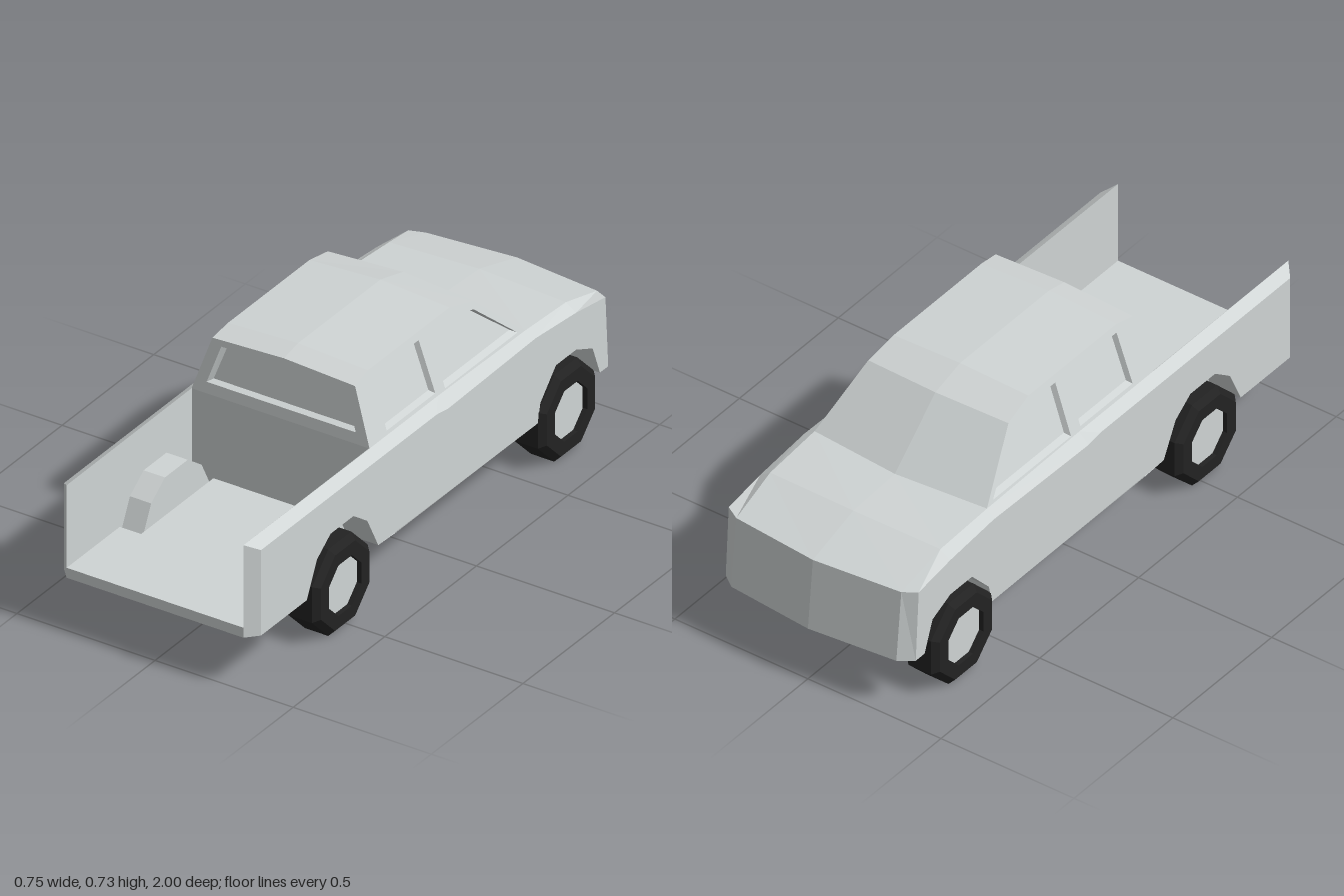
import * as THREE from 'three';

const paint = new THREE.MeshStandardMaterial({ color: 0xcfd4d4, flatShading: true, side: THREE.DoubleSide });
paint.name = 'body grey';
const rubber = new THREE.MeshStandardMaterial({ color: 0x222222, flatShading: true, side: THREE.DoubleSide });
rubber.name = 'tyre black';

// Faceted surface between rows of points
function grid(rows) {
  const out = [];
  for (let i = 0; i < rows.length - 1; i++) {
    for (let j = 0; j < rows[i].length - 1; j++) {
      const a = rows[i][j], b = rows[i][j + 1], c = rows[i + 1][j + 1], d = rows[i + 1][j];
      out.push(...a, ...b, ...c, ...a, ...c, ...d);
    }
  }
  const g = new THREE.BufferGeometry();
  g.setAttribute('position', new THREE.Float32BufferAttribute(out, 3));
  g.computeVertexNormals();
  return g;
}

// Flat outline with holes, placed in space by a rule (u, v) -> [x, y, z]
function plate(outline, holes, place) {
  const vec = (pts) => pts.map(([u, v]) => new THREE.Vector2(u, v));
  const shape = new THREE.Shape(vec(outline));
  holes.forEach((h) => shape.holes.push(new THREE.Path(vec(h))));
  const g = new THREE.ShapeGeometry(shape).toNonIndexed();
  const p = g.attributes.position;
  for (let i = 0; i < p.count; i++) p.setXYZ(i, ...place(p.getX(i), p.getY(i)));
  g.computeVertexNormals();
  return g;
}

// Half a cross-section, outside to centre, completed by its mirror image
const full = (half) => [...half, ...half.slice(0, -1).reverse().map(([x, y, z]) => [-x, y, z])];

export function createModel() {
  const model = new THREE.Group();
  model.name = 'pickupTruck';

  const add = (name, geo, mat = paint) => {
    const m = new THREE.Mesh(geo, mat);
    m.name = name;
    model.add(m);
    return m;
  };
  const pair = (name, geo, mat) => {
    add(name + 'Left', geo, mat);
    add(name + 'Right', geo, mat).scale.x = -1;
  };
  // Sunken window: sloping reveal plus pane
  const windowParts = (hole, place, sunk) => {
    const n = hole.length;
    const cu = hole.reduce((s, p) => s + p[0], 0) / n, cv = hole.reduce((s, p) => s + p[1], 0) / n;
    const inner = hole.map(([u, v]) => [cu + (u - cu) * 0.95, cv + (v - cv) * 0.91]);
    const loop = (pts, rule) => [...pts, pts[0]].map(([u, v]) => rule(u, v));
    return [grid([loop(hole, place), loop(inner, sunk)]), plate(inner, [], sunk)];
  };

  const W = 0.357, IN = 0.32, WELL = 0.243;

  // Body sides with wheel arch cut-outs, as (z, y)
  const frontArch = [[-0.89, 0.19], [-0.85, 0.295], [-0.76, 0.335], [-0.65, 0.335], [-0.565, 0.245], [-0.55, 0.18]];
  const rearArch = [[0.32, 0.185], [0.38, 0.3], [0.455, 0.354], [0.58, 0.354], [0.655, 0.3], [0.71, 0.185]];
  pair('bodySide', plate([
    [0.96, 0.185], [0.96, 0.485], [0, 0.485], [-0.06, 0.475], [-0.54, 0.485], [-0.76, 0.465],
    [-0.92, 0.44], [-0.935, 0.19], ...frontArch, ...rearArch,
  ], [], (z, y) => [W, y, z]));
  pair('shoulder', grid([
    [[W, 0.485, 0.96], [W, 0.485, 0.315], [W, 0.485, 0], [W, 0.475, -0.06], [W, 0.485, -0.54]],
    [[IN, 0.51, 1], [0.322, 0.51, 0.315], [0.322, 0.51, 0], [0.322, 0.51, -0.06], [0.324, 0.505, -0.53]],
  ]));

  // Wheel wells
  [['frontWell', frontArch], ['rearWell', rearArch]].forEach(([name, arch]) => {
    pair(name + 'Liner', grid([WELL, W].map((x) => arch.map(([z, y]) => [x, y, z]))));
    pair(name + 'Wall', plate(arch, [], (z, y) => [WELL, y, z]));
  });

  // Bonnet, nose and front underside
  const noseTop = full([[W, 0.44, -0.92], [0.31, 0.435, -0.945], [0, 0.435, -0.975]]);
  const noseBottom = full([[W, 0.19, -0.935], [0.31, 0.19, -0.97], [0, 0.19, -1]]);
  add('bonnet', grid([
    full([[W, 0.485, -0.54], [0.324, 0.505, -0.53], [0, 0.508, -0.56]]),
    full([[W, 0.465, -0.76], [0.32, 0.49, -0.76], [0, 0.497, -0.77]]),
    noseTop,
  ]));
  add('nose', grid([noseTop, noseBottom]));
  add('noseUnderside', grid([noseBottom, full([[W, 0.19, -0.89], [WELL, 0.19, -0.89], [0, 0.19, -0.89]])]));

  // Belly and sills
  const belly = [[-0.89, 0.19], [-0.55, 0.155], [0.22, 0.155], [0.32, 0.185]];
  add('belly', grid(belly.map(([z, y]) => [[WELL, y, z], [-WELL, y, z]])));
  pair('sill', grid(belly.slice(1).map(([z, y]) => [[W, z > 0.3 ? 0.185 : 0.181, z], [IN, y, z], [WELL, y, z]])));

  // Load bed
  const floor = new THREE.BoxGeometry(WELL * 2, 0.035, 0.685);
  add('bedFloor', floor.translate(0, 0.2025, 0.6575));
  const side = new THREE.BoxGeometry(IN - WELL, 0.035, 0.29);
  pair('bedFloorSide', side.translate((IN + WELL) / 2, 0.2025, 0.855));
  pair('bedInnerWall', plate([[1, 0.185], [1, 0.51], [0.315, 0.51], [0.315, 0.185], ...rearArch], [],
    (z, y) => [IN, y, z]));
  pair('bedWallEnd', grid([
    [[W, 0.185, 0.96], [W, 0.485, 0.96]],
    [[IN, 0.185, 1], [IN, 0.51, 1]],
  ]));
  pair('bedWallUnderside', grid([
    [[IN, 0.185, 0.71], [W, 0.185, 0.71]],
    [[IN, 0.185, 1], [W, 0.185, 0.96]],
  ]));

  // Cab shell: sides lean inwards, rear leans forwards
  const sx = (y) => 0.322 - (y - 0.51) * 0.335;
  const rz = (y) => 0.315 - (y - 0.51) * 0.09;
  const section = (y, z, yMid, zMid) => full([[sx(y), y, z], [0, yMid, zMid]]);
  const screenTop = section(0.685, -0.34, 0.692, -0.355);
  add('windscreen', grid([section(0.505, -0.53, 0.508, -0.56), screenTop]));
  add('roof', grid([
    screenTop,
    section(0.715, -0.225, 0.727, -0.23),
    section(0.715, 0.22, 0.727, 0.22),
    section(0.7, rz(0.7), 0.712, rz(0.712)),
  ]));

  // Cab sides with two windows each
  const sideAt = (z, y) => [sx(y), y, z];
  const sideSunk = (z, y) => [sx(y) - 0.018, y, z];
  const rearDoor = [[0.215, 0.522], [0.21, 0.692], [-0.045, 0.692], [-0.05, 0.522]];
  const frontDoor = [[-0.1, 0.515], [-0.1, 0.692], [-0.225, 0.692], [-0.33, 0.662], [-0.495, 0.515]];
  pair('cabSide', plate([
    [0.315, 0.51], [rz(0.7), 0.7], [0.22, 0.715], [-0.225, 0.715], [-0.34, 0.685], [-0.53, 0.505], [-0.06, 0.51],
  ], [rearDoor, frontDoor], sideAt));
  [['rearDoor', rearDoor], ['frontDoor', frontDoor]].forEach(([name, hole]) => {
    const [reveal, pane] = windowParts(hole, sideAt, sideSunk);
    pair(name + 'WindowFrame', reveal);
    pair(name + 'Window', pane);
  });

  // Cab back with rear window
  const backAt = (x, y) => [x, y, rz(y)];
  const backHole = [[-0.27, 0.548], [0.27, 0.548], [0.225, 0.68], [0, 0.689], [-0.225, 0.68]];
  add('cabBack', plate([[-0.322, 0.51], [0.322, 0.51], [sx(0.7), 0.7], [0, 0.712], [-sx(0.7), 0.7]],
    [backHole], backAt));
  const [backReveal, backPane] = windowParts(backHole, backAt, (x, y) => [x, y, rz(y) - 0.018]);
  add('rearWindowFrame', backReveal);
  add('rearWindow', backPane);
  add('bedFrontWall', grid([[[-IN, 0.51, 0.315], [IN, 0.51, 0.315]], [[-IN, 0.185, 0.315], [IN, 0.185, 0.315]]]));

  // Eight-sided wheels
  const profile = [[0.096, -0.0615], [0.143, -0.0615], [0.1645, -0.042], [0.1645, 0.042], [0.143, 0.0615],
    [0.096, 0.0615], [0.096, -0.0615]].map(([r, h]) => new THREE.Vector2(r, h));
  const tyre = new THREE.LatheGeometry(profile, 8, Math.PI / 8).rotateZ(-Math.PI / 2);
  const hub = new THREE.CylinderGeometry(0.097, 0.097, 0.03, 8, 1, false, Math.PI / 8)
    .rotateZ(-Math.PI / 2).translate(0.03, 0, 0);
  [['front', -0.705], ['rear', 0.528]].forEach(([name, z]) => {
    pair(name + 'Tyre', tyre.clone().translate(0.3135, 0.152, z), rubber);
    pair(name + 'Hub', hub.clone().translate(0.3135, 0.152, z));
  });

  return model;
}
